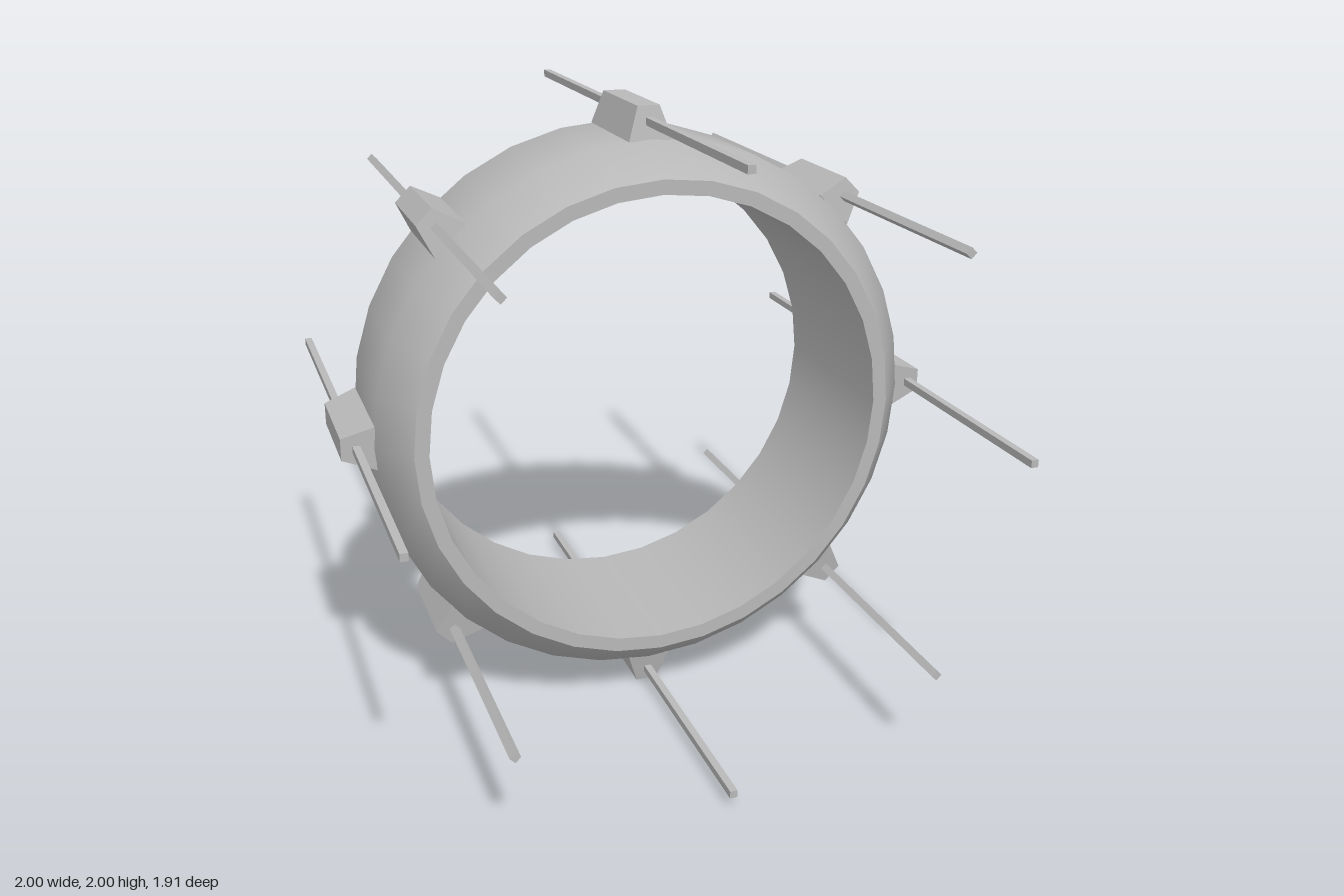
import * as THREE from 'three';

const SEGMENTS = 32;

// Surface of revolution around z; profile points are [radius, z]
function bandAroundZ(name, profile, material) {
  const points = profile.map(([r, z]) => new THREE.Vector2(r, z));
  const geometry = new THREE.LatheGeometry(points, SEGMENTS).rotateX(Math.PI / 2);
  const mesh = new THREE.Mesh(geometry, material);
  mesh.name = name;
  return mesh;
}

// Box that tapers towards its outer (+y) face
function taperedBlock() {
  const geometry = new THREE.BoxGeometry(1, 1, 1);
  const p = geometry.attributes.position;
  for (let i = 0; i < p.count; i++) {
    const outer = p.getY(i) > 0;
    p.setXYZ(
      i,
      Math.sign(p.getX(i)) * (outer ? 0.036 : 0.071),
      outer ? 1.0 : 0.895,
      Math.sign(p.getZ(i)) * (outer ? 0.167 : 0.19)
    );
  }
  geometry.computeVertexNormals();
  return geometry;
}

export function createModel() {
  const model = new THREE.Group();
  model.name = 'ringWithRods';
  const grey = new THREE.MeshStandardMaterial({ color: 0xb8b8b8 });
  grey.name = 'grey';

  // Hollow ring with chamfered outer edges
  const ring = new THREE.Group();
  ring.name = 'ring';
  ring.add(
    bandAroundZ('outerWall', [[0.8, -0.31], [0.9, -0.19], [0.9, 0.19], [0.8, 0.31]], grey),
    bandAroundZ('frontRim', [[0.8, 0.31], [0.753, 0.31]], grey),
    bandAroundZ('innerWall', [[0.753, 0.31], [0.753, -0.31]], grey),
    bandAroundZ('backRim', [[0.753, -0.31], [0.8, -0.31]], grey)
  );
  ring.position.y = 1;
  model.add(ring);

  // Eight mounts, each carrying a long square rod
  const blockGeometry = taperedBlock();
  const rodGeometry = new THREE.BoxGeometry(0.024, 0.024, 1.91).translate(0, 0.953, 0);
  for (let i = 0; i < 8; i++) {
    const mount = new THREE.Group();
    mount.name = `rodMount${i + 1}`;
    const block = new THREE.Mesh(blockGeometry, grey);
    block.name = 'mountBlock';
    const rod = new THREE.Mesh(rodGeometry, grey);
    rod.name = 'rod';
    mount.add(block, rod);
    mount.position.y = 1;
    mount.rotation.z = (i * Math.PI) / 4;
    model.add(mount);
  }
  return model;
}
